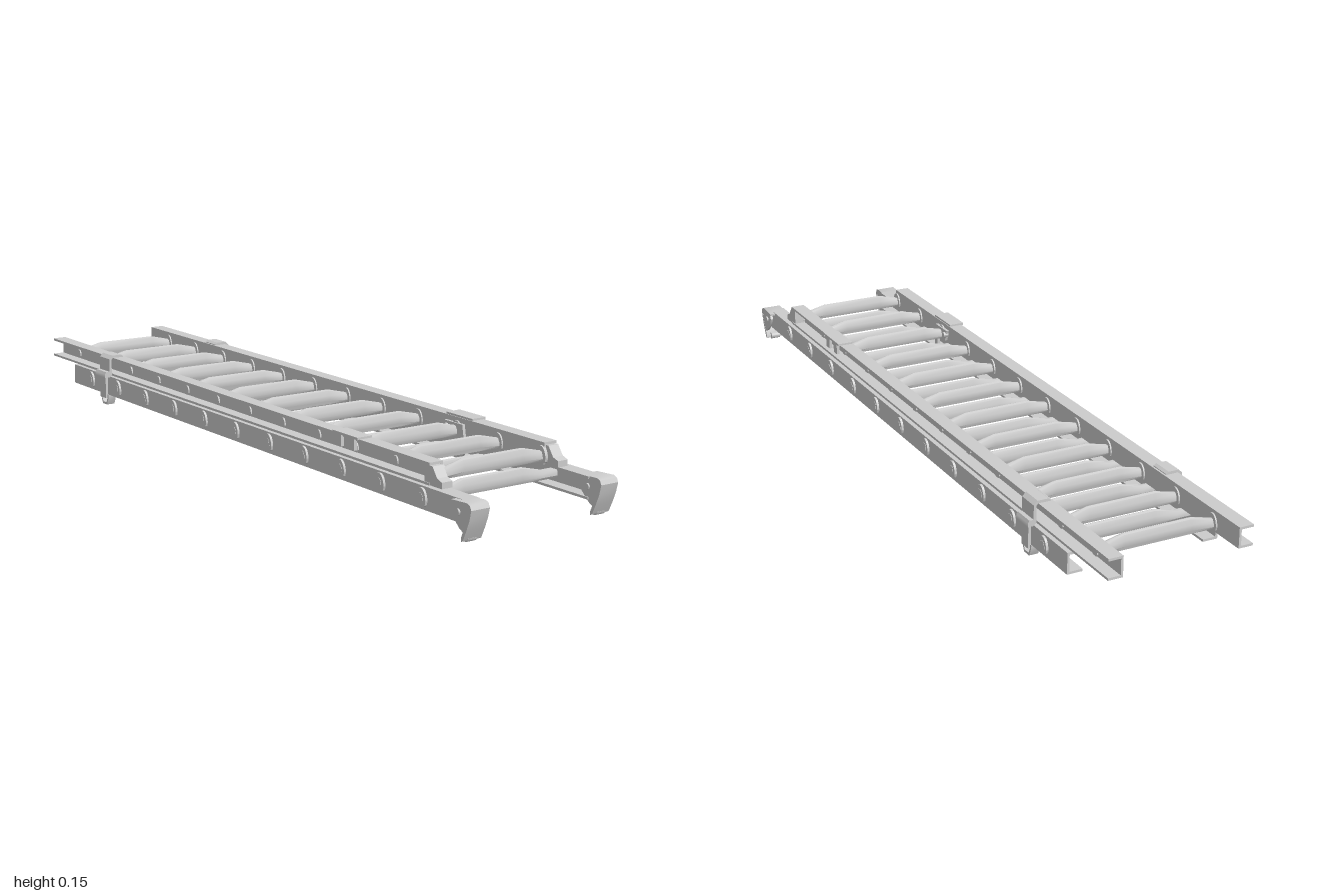
import * as THREE from 'three';
import { toCreasedNormals } from 'three/addons/utils/BufferGeometryUtils.js';

const mat = new THREE.MeshStandardMaterial({ color: 0xcccccc });

function add(parent, name, geometry) {
  const mesh = new THREE.Mesh(toCreasedNormals(geometry, 0.6), mat);
  mesh.name = name;
  parent.add(mesh);
  return mesh;
}

function box(parent, name, x0, x1, y0, y1, z0, z1) {
  const g = new THREE.BoxGeometry(Math.abs(x1 - x0), y1 - y0, z1 - z0);
  return add(parent, name, g.translate((x0 + x1) / 2, (y0 + y1) / 2, (z0 + z1) / 2));
}

const toShape = (pts) => new THREE.Shape(pts.map(([a, b]) => new THREE.Vector2(a, b)));
const extrude = (shape, depth, steps = 1) =>
  new THREE.ExtrudeGeometry(shape, { depth, steps, bevelEnabled: false, curveSegments: 8 });

// outline given as [x, y], run along z
function alongZ(parent, name, pts, s, z0, z1) {
  const g = extrude(toShape(pts.map(([x, y]) => [s * x, y])), z1 - z0);
  return add(parent, name, g.translate(0, 0, z0));
}

// outline given as [z, y], run along x
function alongX(parent, name, pts, xMid, width) {
  const g = extrude(toShape(pts.map(([z, y]) => [-z, y])), width).rotateY(Math.PI / 2);
  return add(parent, name, g.translate(xMid - width / 2, 0, 0));
}

// channel rail: web at xWeb, flanges reaching to xEdge
function rail(parent, name, s, xWeb, xEdge, y0, y1, z0, z1) {
  const t = 0.006 * Math.sign(xEdge - xWeb);
  const f = 0.006;
  alongZ(parent, name, [
    [xWeb, y0], [xEdge, y0], [xEdge, y0 + f], [xWeb + t, y0 + f],
    [xWeb + t, y1 - f], [xEdge, y1 - f], [xEdge, y1], [xWeb, y1],
  ], s, z0, z1);
}

// rung with a domed section, tall in the middle and tapering to the rails
function rung(parent, name, xEnd, yBase, z) {
  const xs = [-xEnd, -0.15, -0.088, 0.088, 0.15, xEnd];
  const hs = [0.024, 0.024, 0.039, 0.039, 0.024, 0.024];
  const d = toShape([
    [-0.007, 0], [0.007, 0], [0.011, 0.25], [0.01, 0.6], [0.006, 0.93],
    [0, 1], [-0.006, 0.93], [-0.01, 0.6], [-0.011, 0.25],
  ]);
  const g = extrude(d, 5, 5).rotateY(Math.PI / 2);
  const p = g.attributes.position;
  for (let i = 0; i < p.count; i++) {
    const k = Math.round(p.getX(i));
    p.setXYZ(i, xs[k], yBase + p.getY(i) * hs[k], p.getZ(i) + z);
  }
  g.computeVertexNormals();
  add(parent, name, g);
}

// rounded triangular collar around a rung end
function collar(parent, x, yMid, z) {
  const s = new THREE.Shape();
  s.moveTo(-0.012, -0.02);
  s.lineTo(0.008, -0.02);
  s.quadraticCurveTo(0.02, -0.018, 0.019, -0.004);
  s.quadraticCurveTo(0.016, 0.02, 0, 0.022);
  s.quadraticCurveTo(-0.014, 0.022, -0.019, 0);
  s.quadraticCurveTo(-0.021, -0.018, -0.012, -0.02);
  const g = extrude(s, 0.008).rotateY(Math.PI / 2);
  add(parent, 'rungCollar', g.translate(x - 0.004, yMid, z));
}

// swivelling foot: curved tread, two cheeks, pivot bolt and curled toe
function foot(parent, s) {
  const shoe = new THREE.Group();
  shoe.name = 'foot';
  parent.add(shoe);
  const x = s * 0.189;
  alongX(shoe, 'footTread', [
    [0.93, 0.091], [0.985, 0.094], [0.995, 0.09], [1.0, 0.08], [0.994, 0.055], [0.984, 0.03],
    [0.973, 0.006], [0.967, 0.003], [0.967, 0.012], [0.977, 0.035], [0.988, 0.058],
    [0.993, 0.08], [0.985, 0.087], [0.93, 0.085],
  ], x, 0.052);
  for (const side of [-1, 1]) {
    alongX(shoe, 'footCheek', [
      [0.935, 0.09], [0.985, 0.092], [0.997, 0.08], [0.99, 0.055], [0.975, 0.024],
      [0.96, 0.032], [0.935, 0.055], [0.928, 0.075],
    ], x + side * 0.022, 0.007);
  }
  const toe = new THREE.CylinderGeometry(0.009, 0.009, 0.026, 14).rotateZ(Math.PI / 2);
  add(shoe, 'footToe', toe.translate(x, 0.0095, 0.966));
  const bolt = new THREE.CylinderGeometry(0.008, 0.008, 0.06, 12).rotateZ(Math.PI / 2);
  add(shoe, 'footBolt', bolt.translate(x, 0.068, 0.955));
}

// bracket holding the upper rail on the lower one, with a loop underneath
function guide(parent, s) {
  const g = new THREE.Group();
  g.name = 'guideBracket';
  parent.add(g);
  const z0 = -0.688, z1 = -0.632;
  alongZ(g, 'guideStrap', [
    [0.155, 0.144], [0.155, 0.147], [0.162, 0.152], [0.19, 0.152], [0.2, 0.142], [0.2, 0.106],
    [0.211, 0.106], [0.215, 0.1], [0.215, 0.09], [0.2, 0.09], [0.193, 0.097],
    [0.193, 0.14], [0.188, 0.1455],
  ], s, z0, z1);
  box(g, 'guideArm', s * 0.2, s * 0.207, 0.028, 0.095, -0.676, -0.644);
  const loop = toShape([[-0.022, 0.038], [-0.022, 0.03], [-0.012, 0.008], [0.012, 0.008], [0.022, 0.03], [0.022, 0.038]]);
  loop.holes.push(toShape([[-0.016, 0.033], [0.016, 0.033], [0.016, 0.029], [0.009, 0.014], [-0.009, 0.014], [-0.016, 0.029]]));
  const lg = extrude(loop, 0.024).rotateY(Math.PI / 2);
  add(g, 'guideLoop', lg.translate(s * 0.19 - 0.012, 0, -0.66));
}

// rung lock: cap on the rail, two outer tabs and an inner hook
function rungLock(parent, s) {
  const g = new THREE.Group();
  g.name = 'rungLock';
  parent.add(g);
  box(g, 'lockCap', s * 0.152, s * 0.194, 0.144, 0.15, 0.456, 0.556);
  for (const z of [0.48, 0.532]) {
    box(g, 'lockTab', s * 0.186, s * 0.194, 0.116, 0.147, z - 0.011, z + 0.011);
  }
  alongX(g, 'lockHook', [
    [0.46, 0.132], [0.53, 0.132], [0.536, 0.1], [0.536, 0.06], [0.522, 0.042], [0.505, 0.048],
    [0.518, 0.06], [0.518, 0.092], [0.47, 0.1],
  ], s * 0.146, 0.008);
  const pin = new THREE.CylinderGeometry(0.008, 0.008, 0.014, 12).rotateZ(Math.PI / 2);
  add(g, 'lockPin', pin.translate(s * 0.143, 0.118, 0.47));
}

export function createModel() {
  const model = new THREE.Group();
  model.name = 'extensionLadder';
  const lower = new THREE.Group();
  lower.name = 'lowerSection';
  const upper = new THREE.Group();
  upper.name = 'upperSection';
  model.add(lower, upper);

  for (const s of [-1, 1]) {
    rail(lower, 'lowerRail', s, 0.2, 0.16, 0.038, 0.0925, -0.845, 0.96);
    rail(upper, 'upperRail', s, 0.15, 0.188, 0.0925, 0.145, -1, 0.82);
    foot(lower, s);
    guide(lower, s);
    rungLock(upper, s);
    // stepped end cap on the front of the upper rail
    alongX(upper, 'railEndCap', [
      [0.8, 0.093], [0.862, 0.093], [0.862, 0.108], [0.845, 0.114], [0.828, 0.138], [0.8, 0.138],
    ], s * 0.171, 0.03);
  }

  // rungs share one spacing; the upper section has one more at the back
  for (let i = 0; i < 12; i++) {
    const z = 0.81 - i * 0.155;
    rung(upper, 'upperRung', 0.16, 0.1, z);
    for (const s of [-1, 1]) collar(upper, s * 0.15, 0.115, z);
    if (i === 11) continue;
    rung(lower, 'lowerRung', 0.207, 0.054, z);
    for (const s of [-1, 1]) collar(lower, s * 0.202, 0.067, z);
  }
  return model;
}
